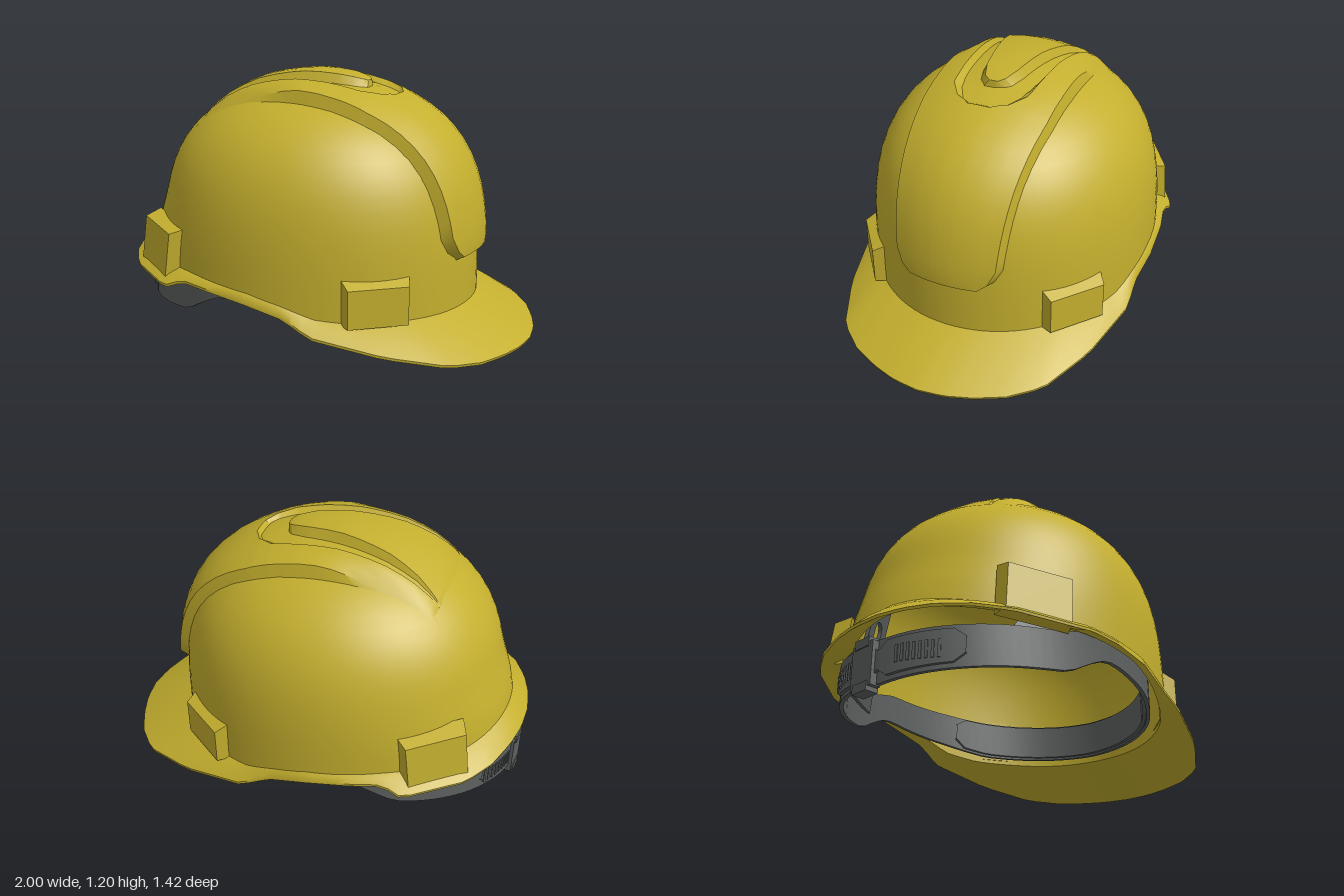
import * as THREE from 'three';
import { toCreasedNormals } from 'three/addons/utils/BufferGeometryUtils.js';

const V = (x, y, z) => new THREE.Vector3(x, y, z);
const RAD = Math.PI / 180;
const CX = -0.1, AZ = 0.69, BASE = 0.1, RISE = 1.035, TOP = BASE + RISE;

// Linear lookup in a table of [key, value, value...]
function lookup(table, k) {
  let i = 0;
  while (i < table.length - 2 && k > table[i + 1][0]) i++;
  const a = table[i], b = table[i + 1];
  const t = THREE.MathUtils.clamp((k - a[0]) / (b[0] - a[0]), 0, 1);
  return a.slice(1).map((v, n) => v + (b[n + 1] - v) * t);
}

// Surface through rows of points
function loft(rows, closeRows = false, closeCols = false) {
  const n = rows[0].length, m = rows.length, index = [];
  for (let i = 0; i < (closeRows ? m : m - 1); i++) {
    for (let j = 0; j < (closeCols ? n : n - 1); j++) {
      const i2 = (i + 1) % m, j2 = (j + 1) % n;
      const a = i * n + j, b = i * n + j2, c = i2 * n + j2, d = i2 * n + j;
      index.push(a, b, c, a, c, d);
    }
  }
  const g = new THREE.BufferGeometry().setFromPoints(rows.flat());
  g.setIndex(index);
  return toCreasedNormals(g, 0.6);
}

// Dome: elliptical plan, domed profile, slightly fuller at the base of the back
const backAxis = y => 0.82 - 0.05 * THREE.MathUtils.smoothstep(y, 0.35, 0.65);
const axisX = (y, front) => (front ? 0.81 : backAxis(y));
const domeR = y => Math.sqrt(Math.max(0, 1 - ((y - BASE) / RISE) ** 4));
function domePoint(deg, y, inset = 0) {
  const c = Math.cos(deg * RAD), s = Math.sin(deg * RAD), r = domeR(y);
  return V(CX + c * Math.max(0, r * axisX(y, c > 0) - inset), y, s * Math.max(0, r * AZ - inset));
}
// Point on the dome along a ray from a crosswise axis, lifted by a distance
function rayPoint(deg, z, lift) {
  const c = Math.cos(deg * RAD), s = Math.sin(deg * RAD);
  let lo = 0, hi = 1.4;
  for (let i = 0; i < 30; i++) {
    const d = (lo + hi) / 2, y = 0.3 + d * s;
    const f = (d * c / axisX(y, c > 0)) ** 2 + (z / AZ) ** 2 + ((y - BASE) / RISE) ** 4;
    if (f < 1) lo = d; else hi = d;
  }
  return V(CX + (lo + lift) * c, 0.3 + (lo + lift) * s, z);
}

// Angle from the front: height of the dome foot, then rim x, y, z
const RIM = [
  [0, 0.16, 1, 0.012, 0], [10, 0.16, 0.985, 0.012, 0.125], [20, 0.16, 0.945, 0.014, 0.25],
  [30, 0.163, 0.885, 0.02, 0.38], [40, 0.167, 0.78, 0.035, 0.51], [55, 0.17, 0.53, 0.075, 0.628],
  [68, 0.19, 0.22, 0.135, 0.705], [78, 0.24, 0.08, 0.2, 0.695], [90, 0.28, -0.1, 0.245, 0.712],
  [105, 0.3, -0.3, 0.27, 0.7], [114, 0.31, -0.45, 0.28, 0.67], [121, 0.31, -0.54, 0.248, 0.688],
  [140, 0.34, -0.8, 0.272, 0.53], [150, 0.355, -0.895, 0.29, 0.405], [160, 0.37, -0.955, 0.305, 0.265],
  [170, 0.385, -0.99, 0.31, 0.13], [180, 0.39, -1, 0.312, 0],
];

function shellGeometry() {
  const rows = [], N = 96, M = 18;
  const ring = f => rows.push(Array.from({ length: N }, (_, i) => {
    const deg = (i / N) * 360, fold = Math.min(deg, 360 - deg);
    const [foot, x, y, z] = lookup(RIM, fold);
    return f(deg, foot, V(x, y, deg > 180 ? -z : z));
  }));
  const level = (foot, t) => foot + (TOP - foot) * Math.sin(t * Math.PI / 2);
  for (let j = 0; j <= M; j++) ring((d, foot) => domePoint(d, level(foot, 1 - j / M)));
  ring((d, foot, p) => domePoint(d, foot).lerp(p, 0.5).add(V(0, 0.006, 0)));
  ring((d, foot, p) => p);
  ring((d, foot, p) => p.add(V(-0.004 * Math.cos(d * RAD), -0.012, 0)));
  for (let j = 0; j <= M; j++) {
    ring((d, foot) => domePoint(d, level(foot, j / M), 0.025).add(V(0, -0.022, 0)));
  }
  return loft(rows, false, true);
}

// Raised centre panel with a forked channel around a crown island.
// Angle up from the front: panel half-width, lift; channel outer z, lift; island z, lift
const PANEL = [
  [6, 0.15, -0.015, 0.05, -0.015, 0.01, -0.015], [7.5, 0.17, 0.04, 0.05, 0.04, 0.01, 0.04],
  [10, 0.215, 0.045, 0.05, 0.045, 0.01, 0.045], [15, 0.25, 0.045, 0.05, 0.045, 0.01, 0.045],
  [40, 0.28, 0.045, 0.05, 0.045, 0.01, 0.045], [61.5, 0.31, 0.046, 0.06, 0.046, 0.01, 0.046],
  [62.5, 0.312, 0.047, 0.075, 0.025, 0.01, 0.025], [64, 0.312, 0.048, 0.125, 0.025, 0.01, 0.025],
  [69, 0.314, 0.05, 0.18, 0.022, 0.01, 0.022], [70.5, 0.315, 0.05, 0.185, 0.021, 0.01, 0.021],
  [71.5, 0.315, 0.05, 0.186, 0.021, 0.02, 0.05], [73, 0.316, 0.05, 0.188, 0.021, 0.05, 0.055],
  [78, 0.318, 0.052, 0.195, 0.02, 0.078, 0.06], [90, 0.32, 0.053, 0.205, 0.018, 0.11, 0.062],
  [105, 0.32, 0.043, 0.222, 0.016, 0.155, 0.05], [115, 0.32, 0.027, 0.232, 0.012, 0.19, 0.03],
  [123, 0.32, 0.008, 0.24, 0.005, 0.225, 0.009], [128, 0.32, -0.012, 0.245, -0.012, 0.235, -0.012],
];
function panelGeometry() {
  const angles = PANEL.map(r => r[0]);
  for (let a = 20; a < 128; a += 5) angles.push(a);
  angles.sort((a, b) => a - b);
  const unique = angles.filter((a, i) => a !== angles[i - 1]);
  return loft(unique.map(a => {
    const [w, lift, o, floor, n, island] = lookup(PANEL, a), e = w * 0.97;
    const edge = lift * (1 - THREE.MathUtils.smoothstep(a, 82, 112));
    const half = [
      [w + 0.01, -0.012], [e, edge], [e + (o - e) / 3, (edge + lift) / 2], [e + (o - e) / 1.5, lift], [o, lift],
      [o + (n - o) * 0.2, floor], [n + (o - n) * 0.2, floor], [n, island], [n / 2, island],
    ];
    const all = [...half, [0, island], ...half.map(([z, h]) => [-z, h]).reverse()];
    return all.map(([z, h]) => rayPoint(a, z, h));
  }));
}

// Accessory lug: box with its outer face drawn in at the top and sides
function lugGeometry(w, h, d, drop) {
  const g = new THREE.BoxGeometry(w, h, d), p = g.attributes.position;
  for (let i = 0; i < p.count; i++) {
    if (p.getZ(i) < 0) continue;
    p.setX(i, p.getX(i) * 0.88);
    if (p.getY(i) > 0) p.setY(i, p.getY(i) - drop);
  }
  return toCreasedNormals(g, 0.3);
}

// Headband: lower and upper edge by angle from the front
const BAND = [
  [0, 0.15, 0.33], [50, 0.16, 0.34], [67, 0.188, 0.35], [95, 0.215, 0.35], [101, 0.2, 0.33],
  [108, 0.15, 0.3], [114, 0.105, 0.28], [122, 0.092, 0.262], [150, 0.06, 0.24], [180, 0.03, 0.22],
];
const BX = -0.16, BA = 0.8, BZ = 0.635;
const bandPoint = (deg, y, out = 0) =>
  V(BX + (BA + out) * Math.cos(deg * RAD), y, (BZ + out) * Math.sin(deg * RAD));
const bandYaw = deg => Math.atan2(Math.cos(deg * RAD) / BA, Math.sin(deg * RAD) / BZ);
function bandGeometry(from, to, inner, outer, trim = 0) {
  const rows = [], full = to - from === 360, n = Math.round((to - from) / 4);
  for (let i = 0; i < (full ? n : n + 1); i++) {
    const deg = from + (to - from) * i / n, fold = Math.abs(((deg + 180) % 360) - 180);
    const [lo, hi] = lookup(BAND, fold);
    const end = !full && (i === 0 || i === n) ? 0.035 : 0;
    const a = lo + trim + end, b = hi - trim - end;
    rows.push([bandPoint(deg, a, outer), bandPoint(deg, b, outer), bandPoint(deg, b, inner), bandPoint(deg, a, inner)]);
  }
  return loft(rows, full, true);
}

// Hanger strap: flared foot and a long slot
function hangerGeometry() {
  const s = new THREE.Shape([[-0.15, 0], [0.15, 0], [0.13, 0.08], [0.105, 0.11], [0.095, 0.62], [-0.095, 0.62], [-0.105, 0.11], [-0.13, 0.08]]
    .map(p => new THREE.Vector2(...p)));
  const slot = new THREE.Path();
  slot.absarc(0, 0.36, 0.04, 0, Math.PI, false);
  slot.absarc(0, 0.18, 0.04, Math.PI, Math.PI * 2, false);
  s.holes.push(slot);
  return new THREE.ExtrudeGeometry(s, { depth: 0.018, bevelEnabled: false, curveSegments: 8 });
}

export function createModel() {
  const model = new THREE.Group();
  const material = (name, color) => {
    const m = new THREE.MeshStandardMaterial({ color });
    m.name = name;
    m.side = THREE.DoubleSide;
    return m;
  };
  const yellow = material('shellYellow', 0xc4af2e);
  const grey = material('strapGrey', 0x5d6160);
  const add = (name, geometry, mat) => {
    const mesh = new THREE.Mesh(geometry, mat);
    mesh.name = name;
    model.add(mesh);
    return mesh;
  };

  add('shellAndBrim', shellGeometry(), yellow);
  add('centrePanel', panelGeometry(), yellow);
  add('headband', bandGeometry(0, 360, -0.018, 0), grey);
  add('browPad', bandGeometry(-64, 64, -0.035, -0.015, 0.01), grey);

  for (const side of [1, -1]) {
    const frontLug = add('frontLug', lugGeometry(0.31, 0.21, 0.07, 0.035), yellow);
    frontLug.position.set(0.447, 0.27, side * 0.515);
    frontLug.rotation.y = Math.atan2(0.62, side * 0.78);
    const rearLug = add('rearLug', lugGeometry(0.32, 0.24, 0.08, 0.03), yellow);
    rearLug.position.set(-0.645, 0.395, side * 0.53);
    rearLug.rotation.order = 'YXZ';
    rearLug.rotation.y = Math.atan2(-0.53, side * 0.85);
    rearLug.rotation.x = -0.1;
    rearLug.rotation.z = side * -0.08;

    // Hanger strap rising from the rear quarter of the headband
    const hanger = add('hangerStrap', hangerGeometry(), grey);
    hanger.position.copy(bandPoint(side * 122, 0.19, -0.04));
    hanger.rotation.order = 'YXZ';
    hanger.rotation.y = bandYaw(side * 122);
    hanger.rotation.x = -0.18;

    // Adjuster strap with its row of ratchet ribs
    const start = side > 0 ? 148 : 180;
    add('adjusterStrap', bandGeometry(start, start + 32, 0, 0.014, 0.02), grey);
    for (let i = 0; i < 8; i++) {
      const deg = side * ((side > 0 ? 172 : 165) - i * 2.2);
      const rib = add('ratchetRib', new THREE.BoxGeometry(0.012, 0.075, 0.008), grey);
      rib.position.copy(bandPoint(deg, 0.135, 0.014));
      rib.rotation.y = bandYaw(deg);
    }
  }

  // Rear buckle, set a little to one side
  const buckle = new THREE.Group();
  buckle.name = 'rearBuckle';
  buckle.position.copy(bandPoint(-173, 0.12, 0));
  buckle.rotation.y = bandYaw(-173);
  for (const [y, w, h, d] of [[0, 0.13, 0.19, 0.05], [-0.095, 0.09, 0.04, 0.06], [0.095, 0.09, 0.04, 0.06]]) {
    const block = new THREE.Mesh(new THREE.BoxGeometry(w, h, d), grey);
    block.name = 'buckleBlock';
    block.position.y = y;
    buckle.add(block);
  }
  model.add(buckle);
  return model;
}
